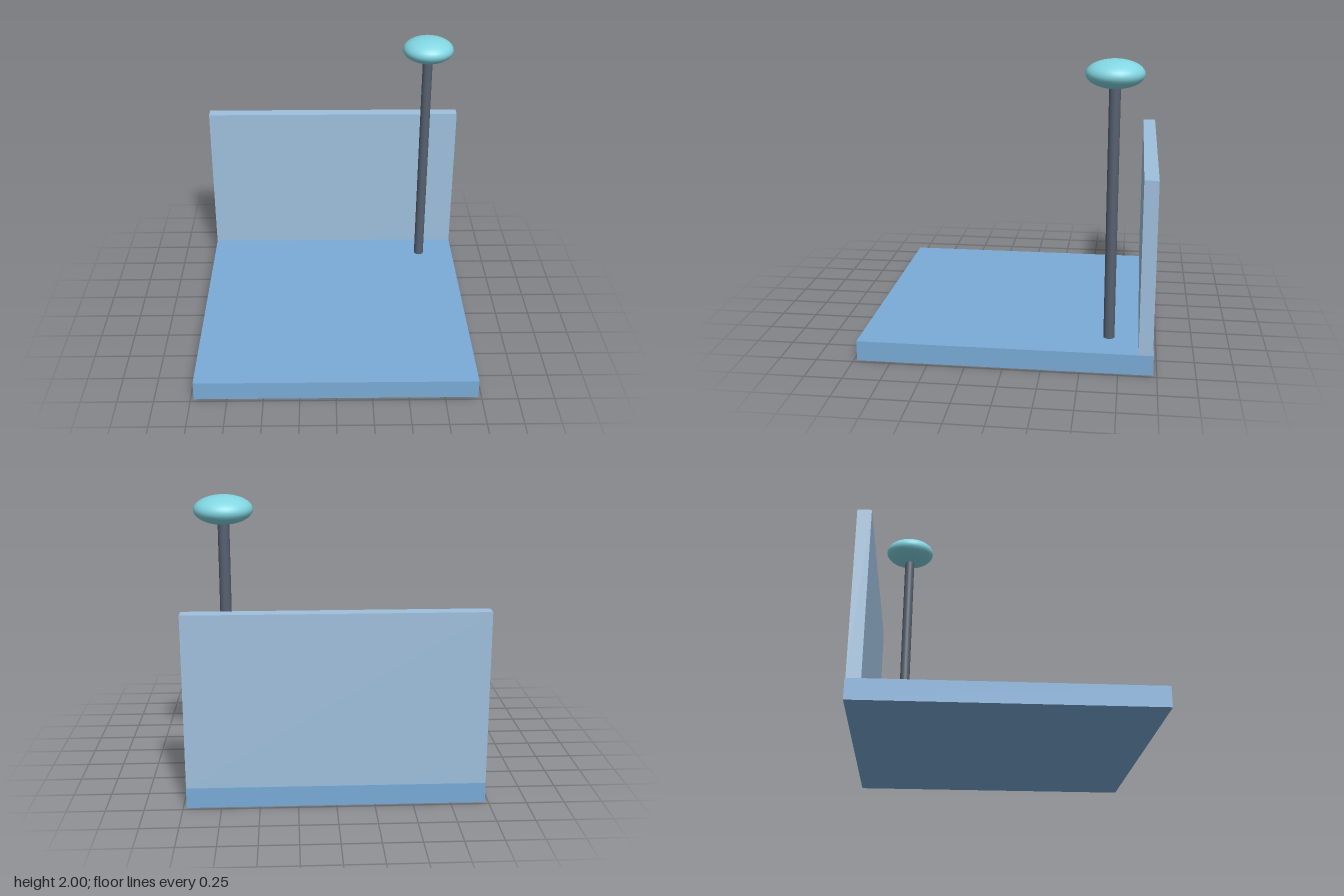
import * as THREE from 'three';

export function createModel() {
  const model = new THREE.Group();

  const add = (name, geometry, color, x, y, z) => {
    const mesh = new THREE.Mesh(geometry, new THREE.MeshStandardMaterial({ color }));
    mesh.name = name;
    mesh.position.set(x, y, z);
    model.add(mesh);
    return mesh;
  };

  const side = 1.955; // square floor
  const floorTop = 0.137;
  const wallTop = 1.295;
  const poleTop = 1.83;
  const lampX = 0.705, lampZ = -0.682;

  // Floor slab
  add('floor', new THREE.BoxGeometry(side, floorTop, side), 0x7aabd8, 0, floorTop / 2, 0);

  // Back wall, set just inside the rear edge of the floor
  add('backWall', new THREE.BoxGeometry(side, wallTop - floorTop, 0.093), 0x9fc0dd,
    0, (wallTop + floorTop) / 2, -0.926);

  // Lamp post standing on the floor
  add('lampPost', new THREE.CylinderGeometry(0.037, 0.037, poleTop - floorTop, 24), 0x56606f,
    lampX, (poleTop + floorTop) / 2, lampZ);

  // Flattened lamp head
  const head = add('lampHead', new THREE.SphereGeometry(0.188, 32, 20), 0x82d6e2,
    lampX, 1.907, lampZ);
  head.scale.y = 0.093 / 0.188;

  return model;
}
